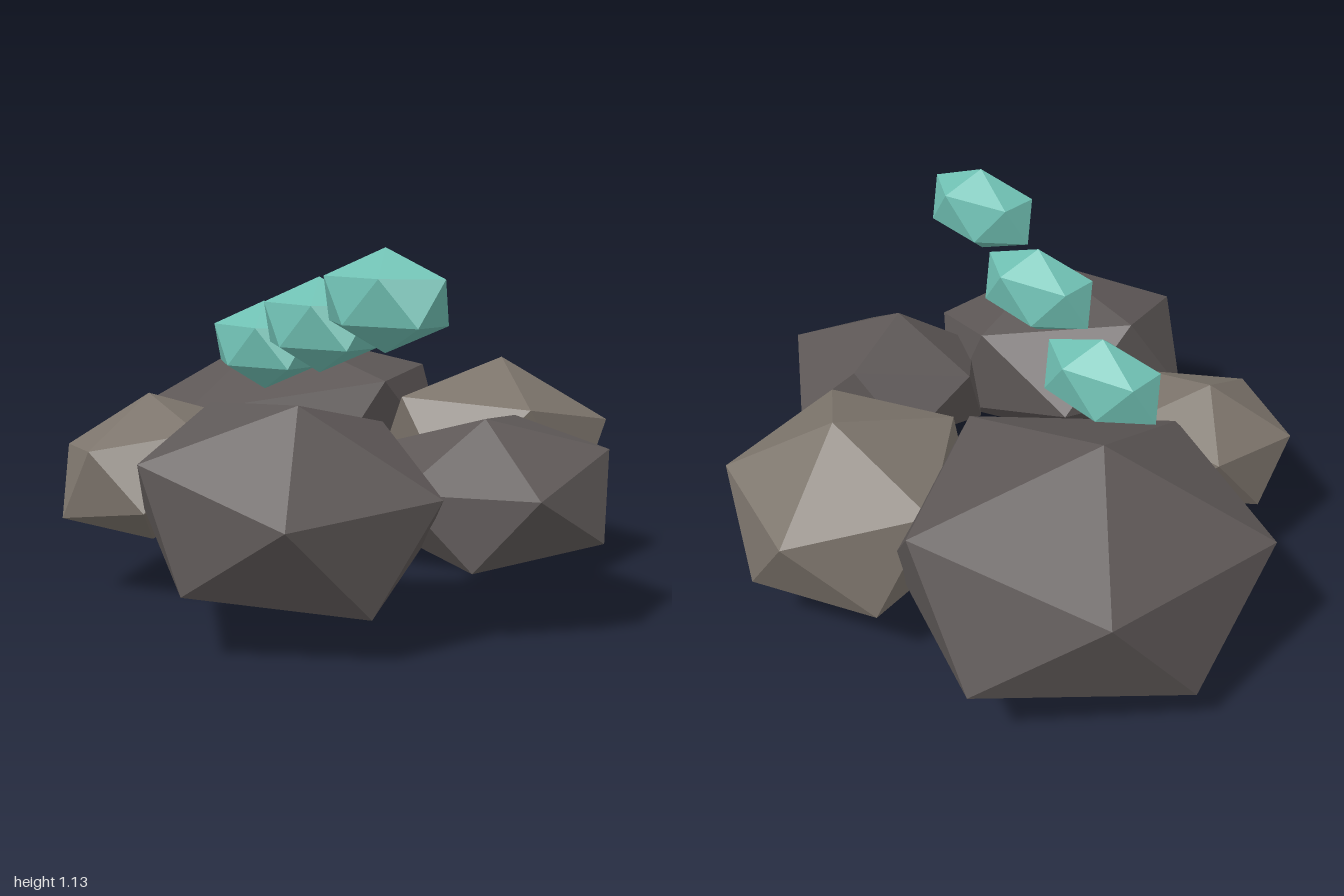
import * as THREE from 'three';

// An icosahedron skewed so that one of its faces has the corners a, b, c (counter-clockwise,
// measured from the centre). This fixes the tilt and stretch of the whole stone.
function stoneGeometry(a, b, c) {
  const geometry = new THREE.IcosahedronGeometry(1, 0);
  const pos = geometry.attributes.position;
  const corner = (i) => new THREE.Vector3().fromBufferAttribute(pos, i);
  const from = new THREE.Matrix4().makeBasis(corner(0), corner(1), corner(2)).invert();
  const to = new THREE.Matrix4().makeBasis(
    new THREE.Vector3(...a), new THREE.Vector3(...b), new THREE.Vector3(...c));
  geometry.applyMatrix4(to.multiply(from));
  geometry.computeVertexNormals();
  return geometry;
}

function stone(name, geometry, material, center) {
  const mesh = new THREE.Mesh(geometry, material);
  mesh.name = name;
  mesh.position.set(...center);
  return mesh;
}

export function createModel() {
  const model = new THREE.Group();
  model.name = 'rockCluster';
  const paint = (color) => new THREE.MeshStandardMaterial({ color, flatShading: true });
  const darkRock = paint(0x5e5857);
  const lightRock = paint(0x7d756c);
  const teal = paint(0x6fbfb2);

  // Boulders arranged in a ring: name, material, centre, and the corners of one upper face
  const boulders = [
    ['backLeftBoulder', darkRock, [-0.508, 0.41, -0.292],
      [-0.059, 0.401, 0.027], [0.492, 0.251, 0.043], [0.203, 0.241, -0.524]],
    ['backRightBoulder', lightRock, [0.193, 0.413, -0.573],
      [0.005, 0.318, -0.056], [0.31, 0.184, 0.206], [0.321, 0.107, -0.243]],
    ['frontBoulder', darkRock, [0.31, 0.407, 0.577],
      [0.102, 0.305, 0.059], [0.297, 0.016, 0.316], [0.452, 0.053, -0.15]],
    ['frontSmallBoulder', lightRock, [-0.428, 0.414, 0.453],
      [-0.037, 0.235, -0.029], [-0.267, 0.059, 0.126], [0.032, 0.086, 0.281]],
    ['sideBoulder', darkRock, [0.644, 0.413, 0.023],
      [0.013, 0.225, 0.07], [-0.088, 0.027, 0.348], [0.307, 0.037, 0.209]],
  ];
  for (const [name, material, center, a, b, c] of boulders) {
    model.add(stone(name, stoneGeometry(a, b, c), material, center));
  }

  // Three matching crystals rising in a diagonal line
  const crystal = stoneGeometry([0, 0.15, 0], [0.067, 0.067, 0.111], [0.216, 0.067, 0]);
  for (let i = 0; i < 3; i++) {
    model.add(stone(`crystal${i + 1}`, crystal, teal,
      [-0.32 + 0.413 * i, 0.788 + 0.103 * i, 0.03 + 0.172 * i]));
  }
  return model;
}
